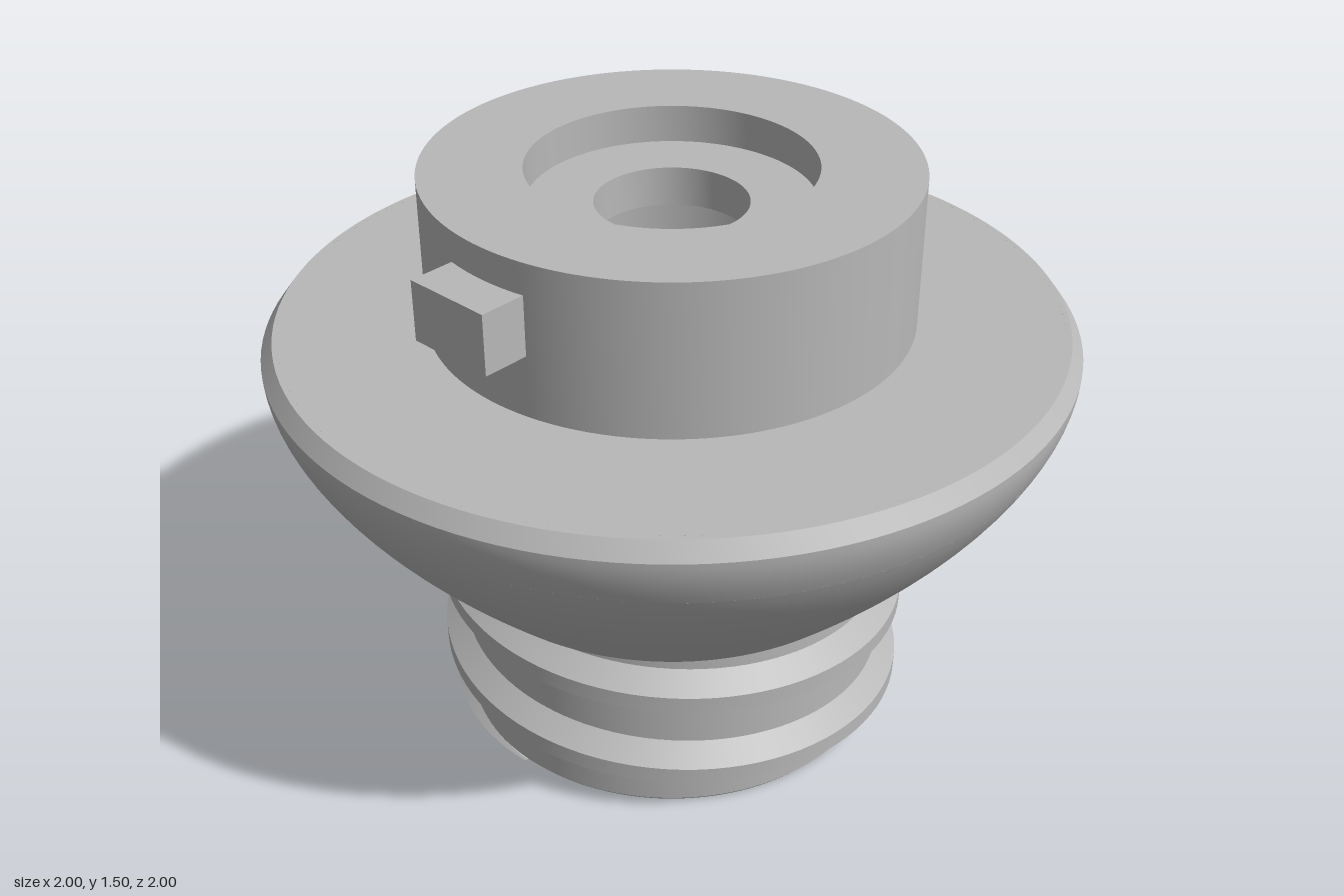
import * as THREE from 'three';
import { toCreasedNormals } from 'three/addons/utils/BufferGeometryUtils.js';

const SEGMENTS = 128;
const BOWL_BASE = 0.505, DECK = 1.12;
const v2 = (x, y) => new THREE.Vector2(x, y);

// External thread: a trapezoid swept up a helix and trimmed flat at both ends
function threadGeometry() {
  const pitch = 0.23, root = 0.54, neck = 0.558, crest = 0.613;
  const baseHalf = 0.068, crestHalf = 0.022, perTurn = 96;
  const start = -Math.PI, turns = 2.85, steps = Math.round(turns * perTurn);
  const pos = [], index = [], ring = 6;
  for (let i = 0; i <= steps; i++) {
    const a = start + (i / perTurn) * Math.PI * 2;
    const c = 0.05 + (pitch * a) / (Math.PI * 2);
    const ys = [-baseHalf, -crestHalf, crestHalf, baseHalf]
      .map((o) => THREE.MathUtils.clamp(c + o, 0, BOWL_BASE));
    const section = ys.map((y) => {
      const t = (baseHalf - Math.abs(y - c)) / (baseHalf - crestHalf);
      return [neck + (crest - neck) * THREE.MathUtils.clamp(t, 0, 1), y];
    });
    section.unshift([root, ys[0]]);
    section.push([root, ys[3]]);
    for (const [r, y] of section) pos.push(r * Math.cos(a), y, r * Math.sin(a));
    if (i === steps) break;
    for (let j = 0; j < ring - 1; j++) {
      const p = i * ring + j, q = p + ring;
      index.push(p, p + 1, q, q, p + 1, q + 1);
    }
  }
  const g = new THREE.BufferGeometry();
  g.setAttribute('position', new THREE.Float32BufferAttribute(pos, 3));
  g.setIndex(index);
  return toCreasedNormals(g, 0.4);
}

export function createModel() {
  const grey = new THREE.MeshStandardMaterial({ color: 0xb8b8b8, side: THREE.DoubleSide });
  grey.name = 'grey';
  const group = new THREE.Group();
  const add = (name, geometry) => {
    const mesh = new THREE.Mesh(geometry, grey);
    mesh.name = name;
    group.add(mesh);
    return mesh;
  };

  // Curved bowl side, divided where the alignment notch begins
  const curve = new THREE.QuadraticBezierCurve(v2(0.615, BOWL_BASE), v2(1, 0.89), v2(1, 1.08));
  const side = curve.getPoints(25);
  const cut = side[18], notchRadius = 0.957;

  // Body: neck, bowl, collar, stepped top hole and bottom bore
  const profile = [
    v2(0.385, 0), v2(0.55, 0), v2(0.558, 0.01), v2(0.558, BOWL_BASE),
    ...side.slice(0, 19),
    v2(notchRadius, cut.y), v2(notchRadius, DECK),
    v2(0.6, DECK), v2(0.6, 1.505), v2(0.35, 1.505), v2(0.35, 1.41),
    v2(0.187, 1.41), v2(0.187, 1.31), v2(0.37, 1.31), v2(0.37, 0.015), v2(0.385, 0),
  ];
  add('body', toCreasedNormals(new THREE.LatheGeometry(profile, SEGMENTS), 0.5));

  // Chamfered rim, left open at +x for the notch
  const rim = [...side.slice(18), v2(0.97, DECK), v2(notchRadius, DECK)];
  const gap = 0.035;
  add('rim', toCreasedNormals(
    new THREE.LatheGeometry(rim, SEGMENTS, Math.PI / 2 + gap, Math.PI * 2 - gap * 2), 0.5));

  // Side walls of the notch
  const wall = new THREE.Shape([v2(notchRadius, cut.y), ...rim]);
  for (const s of [-1, 1]) add('notchWall', new THREE.ShapeGeometry(wall)).rotation.y = s * gap;

  // Locking tabs on the collar
  for (const s of [-1, 1]) {
    add('lockingTab', new THREE.BoxGeometry(0.125, 0.15, 0.23)).position.set(s * 0.6435, 1.351, 0);
  }

  add('thread', threadGeometry());
  return group;
}
